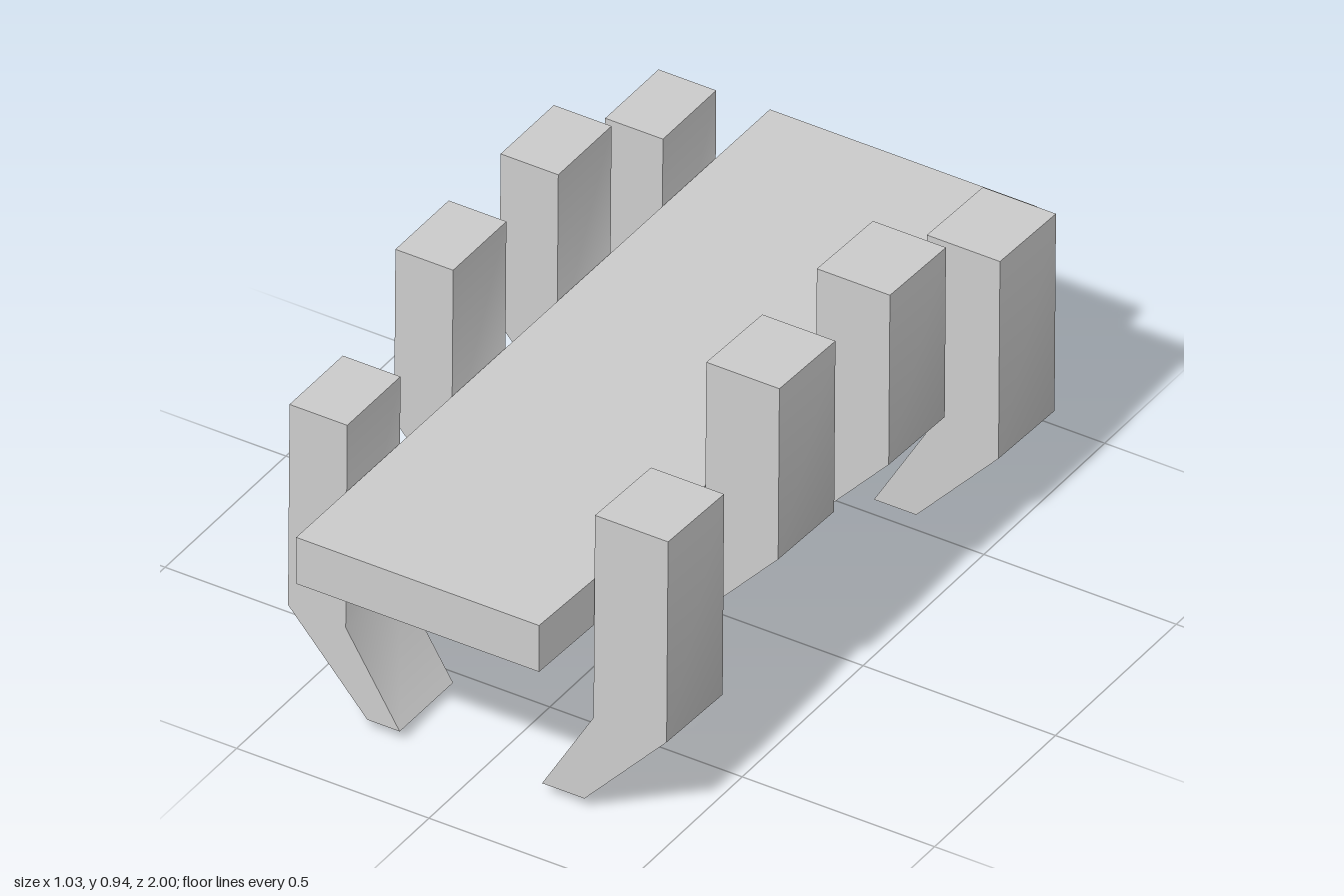
import * as THREE from 'three';
import { toCreasedNormals } from 'three/addons/utils/BufferGeometryUtils.js';

const material = new THREE.MeshStandardMaterial({ color: 0xcccccc });

// Extrude an x/y outline from zBack to zFront, then move each vertex by a rule.
function extrude(points, zBack, zFront, rule) {
  const shape = new THREE.Shape(points.map(([x, y]) => new THREE.Vector2(x, y)));
  const geometry = new THREE.ExtrudeGeometry(shape, { depth: zFront - zBack, bevelEnabled: false });
  geometry.translate(0, 0, zBack);
  const p = geometry.attributes.position;
  for (let i = 0; i < p.count; i++) p.setXYZ(i, ...rule(p.getX(i), p.getY(i), p.getZ(i)));
  return toCreasedNormals(geometry, 0.78);
}

function addMesh(group, name, geometry) {
  const mesh = new THREE.Mesh(geometry, material);
  mesh.name = name;
  group.add(mesh);
}

// The whole body widens slightly towards the back.
const widen = (x, z) => x + (x < 0 ? 0.0125 : -0.019) * (z - 0.79);

// Leg outlines at the front pair, y measured from the foot: [x, toe x] inside and outside.
const SIDES = {
  left: { inner: 0.294, outer: 0.484, toeInner: 0.162, toeOuter: 0.272 },
  right: { inner: -0.35, outer: -0.5, toeInner: -0.208, toeOuter: -0.292 },
};

// Pairs from front to back: front z at the foot, foot height, top height.
const PAIRS = [
  { name: 'front', z: 0.79, foot: 0.03, top: 0.797 },
  { name: 'midFront', z: 0.342, foot: 0.258, top: 0.945 },
  { name: 'midBack', z: -0.102, foot: 0.25, top: 0.934 },
  { name: 'back', z: -0.543, foot: 0.005, top: 0.763 },
];

export function createModel() {
  const model = new THREE.Group();
  model.name = 'eightLeggedSlab';

  // Flat slab: slopes down, thins and widens towards the back
  addMesh(model, 'slab', extrude([[-0.348, 0], [0.29, 0], [0.29, 1], [-0.348, 1]], -1, 1,
    (x, y, z) => {
      const t = (1 - z) / 2;
      const bottom = 0.503 - 0.037 * t;
      const top = 0.628 - 0.055 * t;
      return [widen(x, z), bottom + y * (top - bottom), z];
    }));

  // Four pairs of upright legs with feet bent inwards
  for (const { name, z: zFront, foot, top } of PAIRS) {
    for (const [side, s] of Object.entries(SIDES)) {
      const knee = foot + 0.23;
      const outline = [
        [s.inner, top], [s.outer, top], [s.outer, knee],
        [s.toeOuter, foot], [s.toeInner, foot], [s.inner, knee - 0.005],
      ];
      addMesh(model, `${name}Leg_${side}`, extrude(outline, zFront - 0.225, zFront,
        (x, y, z) => [widen(x, z), y + 0.02 * (z - zFront), z - 0.0115 * (y - foot)]));
    }
  }
  return model;
}
